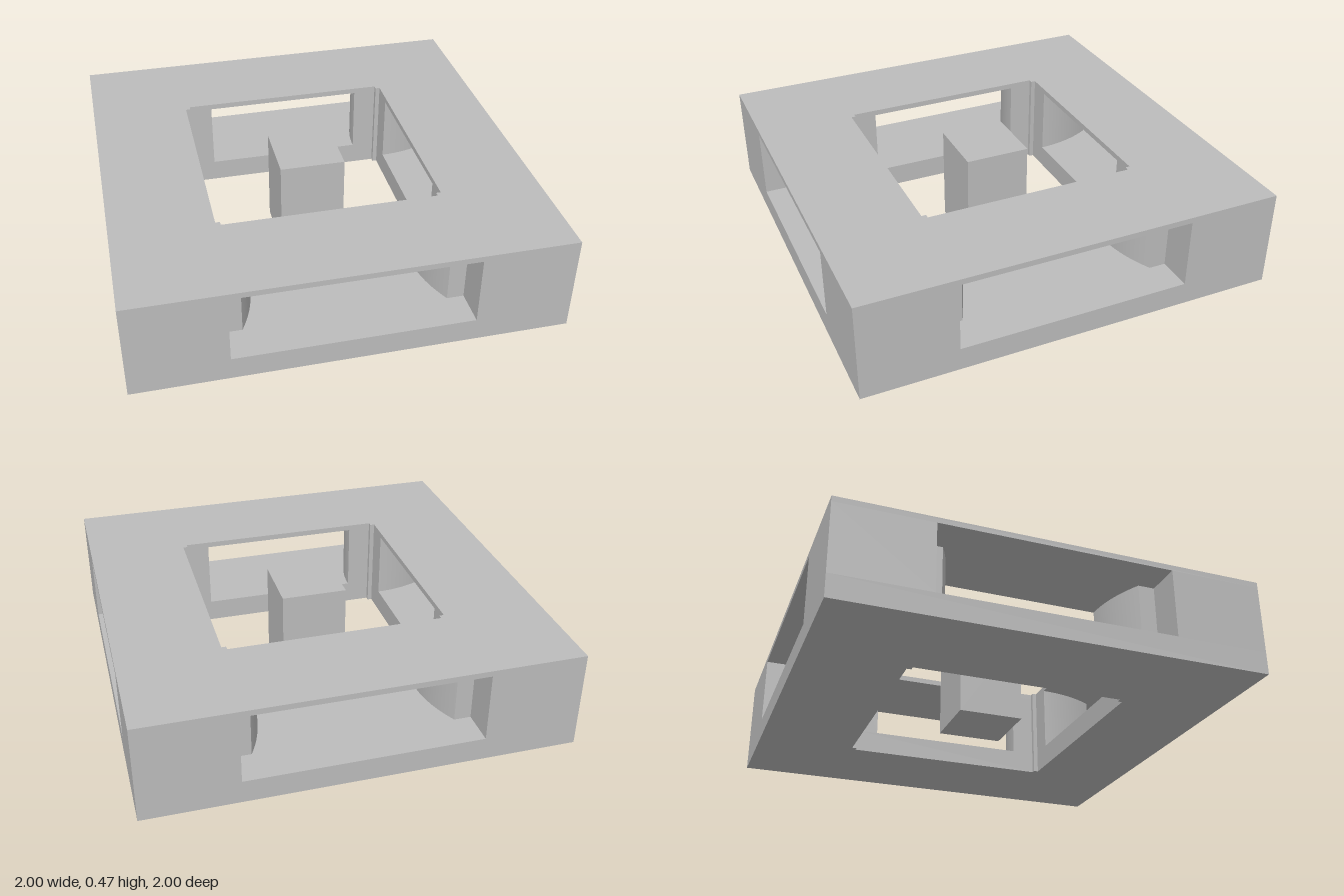
import * as THREE from 'three';
import { toCreasedNormals } from 'three/addons/utils/BufferGeometryUtils.js';

const HEIGHT = 0.47, FLOOR = 0.11, CEILING = 0.443;
const HOLE = 0.527, NOTCH = 0.505;

// Extrudes a plan shape upward from y0 to y1, rounding only the curved walls
function slab(shape, y0, y1) {
  const geo = new THREE.ExtrudeGeometry(shape, { depth: y1 - y0, bevelEnabled: false, curveSegments: 16 });
  geo.rotateX(-Math.PI / 2);
  geo.translate(0, y0, 0);
  return toCreasedNormals(geo, 0.4);
}

// Square plate with a central hole whose corners are notched
function plateShape() {
  const shape = new THREE.Shape([[-1, -1], [1, -1], [1, 1], [-1, 1]].map(p => new THREE.Vector2(...p)));
  const corners = [];
  for (let i = 0; i < 4; i++) {
    for (const [x, y] of [[HOLE, NOTCH], [NOTCH, NOTCH], [NOTCH, HOLE]]) {
      corners.push(new THREE.Vector2(x, y).rotateAround(new THREE.Vector2(), i * Math.PI / 2));
    }
  }
  shape.holes.push(new THREE.Path(corners));
  return shape;
}

// Corner post: stepped at the outside, with convex walls narrowing the passages
function postShape() {
  const s = new THREE.Shape();
  s.moveTo(1, 1);
  s.lineTo(0.553, 1);
  s.lineTo(0.553, 0.83);
  s.lineTo(0.473, 0.83);
  s.quadraticCurveTo(0.392, 0.68, 0.392, HOLE);
  s.lineTo(NOTCH, HOLE);
  s.lineTo(NOTCH, NOTCH);
  s.lineTo(HOLE, NOTCH);
  s.lineTo(HOLE, 0.392);
  s.quadraticCurveTo(0.68, 0.392, 0.83, 0.473);
  s.lineTo(0.83, 0.553);
  s.lineTo(1, 0.553);
  s.closePath();
  return s;
}

export function createModel() {
  const group = new THREE.Group();
  const grey = new THREE.MeshStandardMaterial({ color: 0xbcbcbc });
  grey.name = 'grey';

  const add = (name, geo) => {
    const mesh = new THREE.Mesh(geo, grey);
    mesh.name = name;
    group.add(mesh);
    return mesh;
  };

  // Bottom and top plates
  add('bottomPlate', slab(plateShape(), 0, FLOOR));
  add('topPlate', slab(plateShape(), CEILING, HEIGHT));

  // Four corner posts
  const post = slab(postShape(), FLOOR, CEILING);
  ['backLeft', 'backRight', 'frontRight', 'frontLeft'].forEach((corner, i) => {
    add(corner + 'Post', post).rotation.y = i * Math.PI / 2;
  });

  // Free-standing central block
  add('centreBlock', new THREE.BoxGeometry(0.316, HEIGHT, 0.316)).position.y = HEIGHT / 2;

  return group;
}
